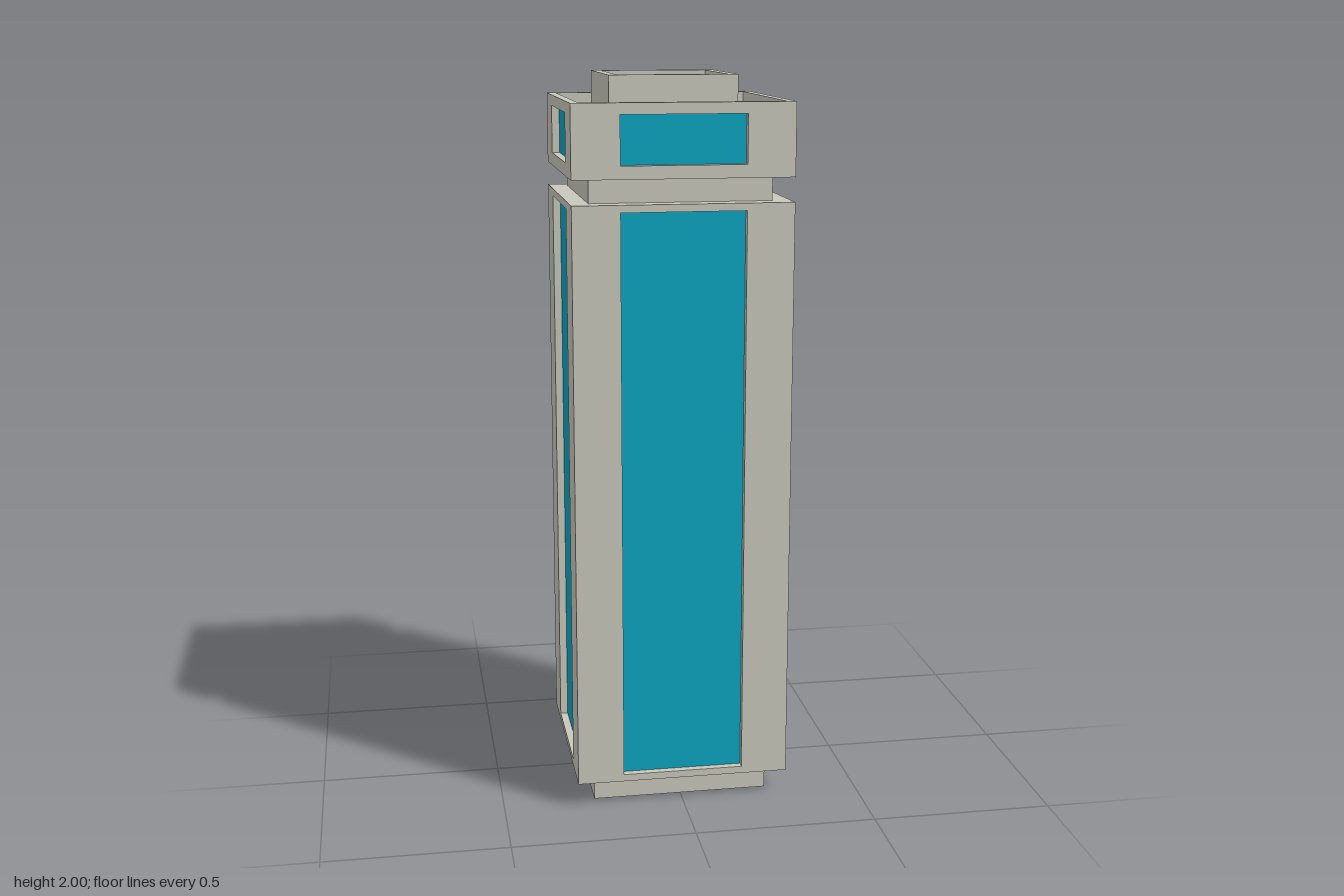
import * as THREE from 'three';

const stone = new THREE.MeshStandardMaterial({ color: 0xc9c8bc });
stone.name = 'stone';
const glass = new THREE.MeshStandardMaterial({ color: 0x0da6c2 });
glass.name = 'blueGlass';

const HALF = 0.295; // half width of the tower
const WALL = 0.023; // depth of the recesses
const WINDOW = 0.167; // half width of the windows

function box(name, w, d, y0, y1, material, x = 0, z = 0) {
  const mesh = new THREE.Mesh(new THREE.BoxGeometry(w, y1 - y0, d), material);
  mesh.name = name;
  mesh.position.set(x, (y0 + y1) / 2, z);
  return mesh;
}

// Rectangle outline, usable as a shape or a hole
function rect(PathType, x0, y0, x1, y1) {
  const p = new PathType();
  p.moveTo(x0, y0);
  p.lineTo(x1, y0);
  p.lineTo(x1, y1);
  p.lineTo(x0, y1);
  p.closePath();
  return p;
}

// A square storey: solid core, four walls with openings, recessed glass
function storey(name, y0, y1, coreTop, win0, win1) {
  const group = new THREE.Group();
  group.name = name;
  const inner = HALF - WALL;
  group.add(box(name + 'Core', inner * 2, inner * 2, y0, coreTop, stone));

  // Each wall covers one corner, so the four fit together without overlap
  const shape = rect(THREE.Shape, -HALF, y0, inner, y1);
  shape.holes.push(rect(THREE.Path, -WINDOW, win0, WINDOW, win1));
  const wallGeometry = new THREE.ExtrudeGeometry(shape, { depth: WALL, bevelEnabled: false });
  for (let i = 0; i < 4; i++) {
    const side = new THREE.Group();
    side.name = name + 'Side';
    side.rotation.y = (i * Math.PI) / 2;
    const wall = new THREE.Mesh(wallGeometry, stone);
    wall.name = 'wall';
    wall.position.z = inner;
    side.add(wall, box('window', WINDOW * 2, 0.004, win0, win1, glass, 0, inner));
    group.add(side);
  }
  return group;
}

// Small rooftop box with a raised rim
function rooftopBox() {
  const group = new THREE.Group();
  group.name = 'rooftopBox';
  const w = 0.345, d = 0.37, rim = 0.024;
  group.add(box('rooftopBoxCore', w - 2 * rim, d - 2 * rim, 1.9, 1.975, stone));
  const shape = rect(THREE.Shape, -w / 2, -d / 2, w / 2, d / 2);
  shape.holes.push(rect(THREE.Path, rim - w / 2, rim - d / 2, w / 2 - rim, d / 2 - rim));
  const geometry = new THREE.ExtrudeGeometry(shape, { depth: 0.1, bevelEnabled: false });
  geometry.rotateX(-Math.PI / 2);
  const walls = new THREE.Mesh(geometry, stone);
  walls.name = 'rooftopBoxRim';
  walls.position.y = 1.9;
  group.add(walls);
  group.position.set(-0.007, 0, -0.015);
  return group;
}

export function createModel() {
  const model = new THREE.Group();
  model.name = 'tower';
  model.add(
    box('base', 0.49, 0.49, 0, 0.07, stone),
    storey('mainShaft', 0.07, 1.675, 1.675, 0.09, 1.655),
    box('neck', 0.49, 0.49, 1.675, 1.74, stone),
    storey('topStorey', 1.74, 1.935, 1.905, 1.775, 1.905),
    rooftopBox()
  );
  return model;
}
